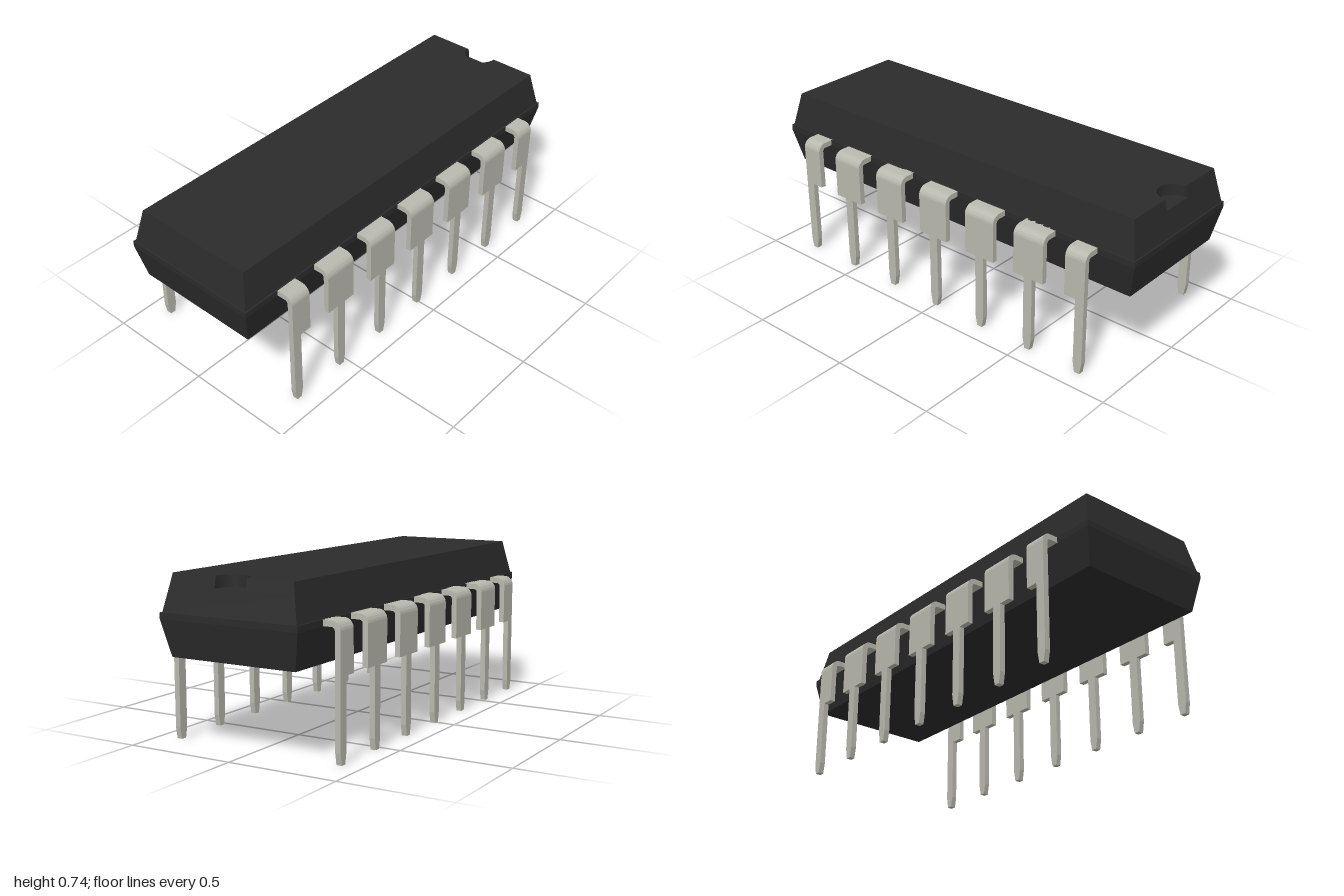
import * as THREE from 'three';
import { toCreasedNormals } from 'three/addons/utils/BufferGeometryUtils.js';

const bodyMaterial = new THREE.MeshStandardMaterial({ color: 0x2b2b2b });
const metalMaterial = new THREE.MeshStandardMaterial({ color: 0xb8b8ae });

function addMesh(parent, name, geometry, material) {
  const mesh = new THREE.Mesh(geometry, material);
  mesh.name = name;
  parent.add(mesh);
  return mesh;
}

// Block from y0 to y1 whose half sizes [x, z] change from bottom to top
function taperedBlock(y0, bottom, y1, top) {
  const geometry = new THREE.BoxGeometry(2, 1, 2);
  const p = geometry.attributes.position;
  for (let i = 0; i < p.count; i++) {
    const up = p.getY(i) > 0;
    const [hx, hz] = up ? top : bottom;
    p.setXYZ(i, p.getX(i) * hx, up ? y1 : y0, p.getZ(i) * hz);
  }
  geometry.computeVertexNormals();
  return geometry;
}

// Tapered slab with a half-round notch in its back edge
function notchedSlab(y0, [hx, hz], y1, [topX, topZ]) {
  const r = 0.076, c = 0.958, height = y1 - y0;
  const shape = new THREE.Shape();
  shape.moveTo(-hx, -hz);
  shape.lineTo(hx, -hz);
  shape.lineTo(hx, hz);
  shape.lineTo(r, hz);
  shape.lineTo(r, c);
  shape.absarc(0, c, r, 0, Math.PI, true);
  shape.lineTo(-r, hz);
  shape.lineTo(-hx, hz);
  const geometry = new THREE.ExtrudeGeometry(shape, { depth: height, bevelEnabled: false, curveSegments: 24 });
  geometry.rotateX(-Math.PI / 2);
  const p = geometry.attributes.position;
  for (let i = 0; i < p.count; i++) {
    // Only the outer outline leans inwards, the notch wall stays upright
    if (p.getY(i) > height / 2) {
      const x = p.getX(i), z = p.getZ(i);
      if (Math.abs(x) > hx - 1e-4) p.setX(i, Math.sign(x) * topX);
      if (Math.abs(z) > hz - 1e-4) p.setZ(i, Math.sign(z) * topZ);
    }
  }
  geometry.translate(0, y0, 0);
  return toCreasedNormals(geometry, 0.5);
}

const thickness = 0.025;

// Pin on the +x side; its shoulder spans z0 to z1 around the pin's centre
function createPin(z0, z1) {
  const pin = new THREE.Group();

  const bend = new THREE.Shape();
  bend.moveTo(0.32, 0.55);
  bend.lineTo(0.372, 0.55);
  bend.absarc(0.372, 0.535, 0.015, Math.PI / 2, 0, true);
  bend.lineTo(0.412, 0.535);
  bend.absarc(0.372, 0.535, 0.04, 0, Math.PI / 2, false);
  bend.lineTo(0.32, 0.575);
  const bendGeometry = new THREE.ExtrudeGeometry(bend, { depth: z1 - z0, bevelEnabled: false, curveSegments: 10 });
  bendGeometry.translate(0, 0, z0);
  addMesh(pin, 'pinBend', toCreasedNormals(bendGeometry, 0.5), metalMaterial);

  // Wide shoulder, narrow shank and tapered tip (shape x is -z)
  const w = 0.022, tip = 0.013, shoulderY = 0.355;
  const blade = new THREE.Shape([
    [-z1, 0.535], [-z1, shoulderY], [-w, shoulderY], [-w, 0.05], [-tip, 0],
    [tip, 0], [w, 0.05], [w, shoulderY], [-z0, shoulderY], [-z0, 0.535],
  ].map(([x, y]) => new THREE.Vector2(x, y)));
  const bladeGeometry = new THREE.ExtrudeGeometry(blade, { depth: thickness, bevelEnabled: false });
  bladeGeometry.rotateY(Math.PI / 2);
  bladeGeometry.translate(0.412 - thickness, 0, 0);
  addMesh(pin, 'pinBlade', bladeGeometry, metalMaterial);
  return pin;
}

function createPinRow(name) {
  const row = new THREE.Group();
  row.name = name;
  const full = 0.078, cut = 0.022;
  for (let i = -3; i <= 3; i++) {
    // End pins have only the inner half of the shoulder
    const pin = createPin(i === -3 ? -cut : -full, i === 3 ? cut : full);
    pin.name = 'pin' + (i + 4);
    pin.position.z = i * 0.267;
    row.add(pin);
  }
  return row;
}

export function createModel() {
  const model = new THREE.Group();
  model.name = 'chip';

  // Body
  const body = new THREE.Group();
  body.name = 'body';
  model.add(body);
  const notchFloor = [0.302, 0.97];
  addMesh(body, 'lowerBody', taperedBlock(0.39, [0.3, 0.967], 0.548, [0.333, 1]), bodyMaterial);
  addMesh(body, 'middleBand', taperedBlock(0.548, [0.333, 1], 0.575, [0.333, 1]), bodyMaterial);
  addMesh(body, 'upperBody', taperedBlock(0.575, [0.325, 0.993], 0.685, notchFloor), bodyMaterial);
  addMesh(body, 'notchedTop', notchedSlab(0.685, notchFloor, 0.735, [0.292, 0.96]), bodyMaterial);

  // Pins
  const left = createPinRow('leftPins');
  const right = createPinRow('rightPins');
  right.rotation.y = Math.PI;
  model.add(left, right);
  return model;
}
